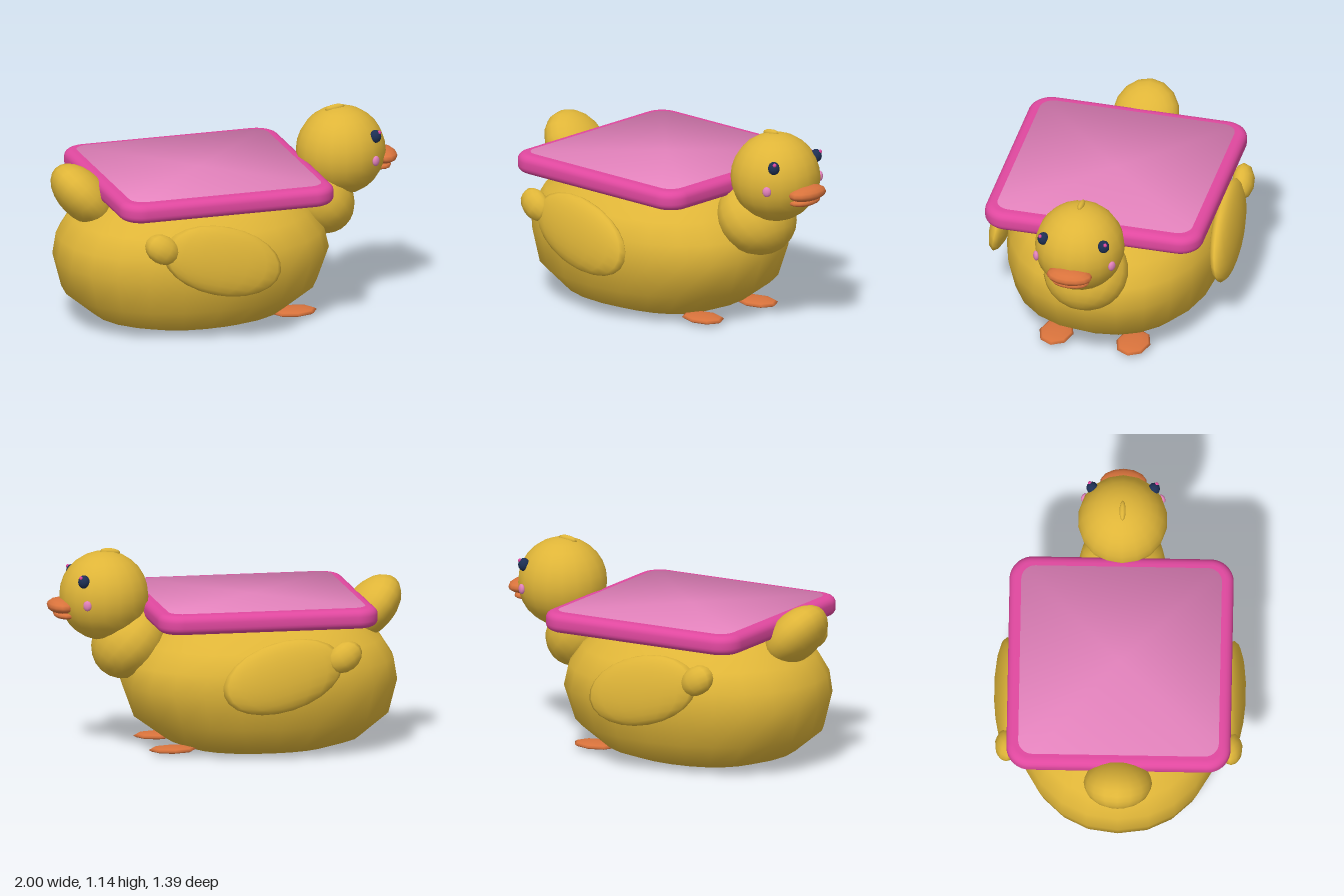
import * as THREE from 'three';
import { toCreasedNormals } from 'three/addons/utils/BufferGeometryUtils.js';

const paint = (name, color) => {
  const m = new THREE.MeshStandardMaterial({ color });
  m.name = name;
  return m;
};

export function createModel() {
  const duck = new THREE.Group();
  duck.name = 'duckSeat';
  const yellow = paint('yellow', 0xdfb538);
  const orange = paint('orange', 0xd9733c);
  const navy = paint('navy', 0x1e3055);
  const pink = paint('pink', 0xe0489f);
  const palePink = paint('palePink', 0xe382bc);

  const add = (name, geometry, material, pos = [0, 0, 0]) => {
    const mesh = new THREE.Mesh(geometry, material);
    mesh.name = name;
    mesh.position.set(...pos);
    duck.add(mesh);
    return mesh;
  };
  const blob = (name, material, pos, radii, rot = [0, 0, 0], w = 16, h = 12) => {
    const mesh = add(name, new THREE.SphereGeometry(1, w, h), material, pos);
    mesh.scale.set(...radii);
    mesh.rotation.set(...rot);
    return mesh;
  };

  // Body: oval rings stacked upwards [y, back x, front x, half width]
  const rings = [
    [0, -0.6, 0.2, 0.31], [0.05, -0.76, 0.33, 0.45], [0.18, -0.92, 0.51, 0.565],
    [0.37, -0.97, 0.58, 0.6], [0.49, -0.95, 0.55, 0.59], [0.6, -0.88, 0.47, 0.54],
    [0.71, -0.73, 0.34, 0.39], [0.765, -0.5, 0.1, 0.2],
  ];
  const N = 24;
  const verts = [], faces = [];
  const soften = (v) => Math.sign(v) * Math.abs(v) ** 0.92;
  for (const [y, x0, x1, w] of rings) {
    for (let i = 0; i < N; i++) {
      const a = (i / N) * Math.PI * 2;
      verts.push((x0 + x1) / 2 + ((x1 - x0) / 2) * soften(Math.cos(a)), y, w * soften(Math.sin(a)));
    }
  }
  const base = rings.length * N, last = (rings.length - 1) * N;
  verts.push(-0.2, 0, 0, -0.2, 0.775, 0);
  for (let i = 0; i < N; i++) {
    const k = (i + 1) % N;
    for (let j = 0; j < last; j += N) {
      faces.push(j + i, j + N + i, j + k, j + k, j + N + i, j + N + k);
    }
    faces.push(base, i, k, base + 1, last + k, last + i);
  }
  const body = new THREE.BufferGeometry();
  body.setAttribute('position', new THREE.Float32BufferAttribute(verts, 3));
  body.setIndex(faces);
  body.computeVertexNormals();
  add('body', body, yellow);

  // Neck, head, tuft and tail
  blob('neck', yellow, [0.54, 0.61, 0], [0.19, 0.225, 0.24], [0, 0, 0.75]);
  blob('head', yellow, [0.68, 0.87, 0], [0.25, 0.25, 0.25], [0, 0, 0], 18, 14);
  blob('tuft', yellow, [0.645, 1.115, 0], [0.058, 0.02, 0.018], [0, 0, 0.12], 10, 6);
  blob('tail', yellow, [-0.83, 0.75, 0], [0.21, 0.13, 0.19], [0, 0, -0.835]);

  // Beak
  blob('upperBeak', orange, [0.92, 0.822, 0], [0.08, 0.043, 0.13], [0, 0, 0], 14, 8);
  blob('lowerBeak', orange, [0.9, 0.773, 0], [0.065, 0.026, 0.108], [0, 0, 0], 14, 8);

  // Mirrored parts
  for (const s of [1, -1]) {
    const side = s > 0 ? 'left' : 'right';
    blob(side + 'Wing', yellow, [-0.21, 0.49, s * 0.625], [0.35, 0.193, 0.068], [-s * 0.15, 0, -0.27]);
    blob(side + 'WingTip', yellow, [-0.56, 0.59, s * 0.625], [0.105, 0.08, 0.062], [-s * 0.15, 0, -0.6], 10, 8);
    blob(side + 'Foot', orange, [0.335, 0.028, s * 0.22], [0.135, 0.02, 0.097], [0, 0, 0], 8, 6);
    blob(side + 'Eye', navy, [0.827, 0.982, s * 0.172], [0.033, 0.037, 0.033], [0, 0, 0], 12, 8);
    blob(side + 'EyeGlint', pink, [0.846, 1.006, s * 0.186], [0.011, 0.011, 0.011], [0, 0, 0], 8, 6);
    blob(side + 'Cheek', palePink, [0.816, 0.853, s * 0.217], [0.025, 0.029, 0.015], [0, s * 0.55, 0], 10, 8);
  }

  // Square cushion with rounded corners
  const rounded = (inset, radius) => {
    const a = 0.622 - inset, q = Math.PI / 2;
    const c = a - radius;
    const shape = new THREE.Shape();
    shape.absarc(c, c, radius, 0, q);
    shape.absarc(-c, c, radius, q, 2 * q);
    shape.absarc(-c, -c, radius, 2 * q, 3 * q);
    shape.absarc(c, -c, radius, 3 * q, 4 * q);
    shape.closePath();
    return shape;
  };
  const rim = new THREE.ExtrudeGeometry(rounded(0.045, 0.085), {
    depth: 0.03, bevelSize: 0.045, bevelThickness: 0.04, bevelSegments: 5, curveSegments: 8,
  });
  rim.rotateX(-Math.PI / 2);
  add('cushion', toCreasedNormals(rim, 0.7), pink, [-0.147, 0.78, 0]);

  // Cushion top: thin fan whose normals lean outwards for a padded look
  const edge = rounded(0.065, 0.08).getPoints(8).slice(0, -1);
  const pos = [0, 0, 0], normals = [0, 1, 0], fan = [];
  edge.forEach((p, i) => {
    const lean = new THREE.Vector3(p.x, 0, -p.y).normalize().multiplyScalar(0.6).setY(0.8);
    pos.push(p.x, 0, -p.y);
    normals.push(lean.x, lean.y, lean.z);
    fan.push(0, i + 1, ((i + 1) % edge.length) + 1);
  });
  const top = new THREE.BufferGeometry();
  top.setAttribute('position', new THREE.Float32BufferAttribute(pos, 3));
  top.setAttribute('normal', new THREE.Float32BufferAttribute(normals, 3));
  top.setIndex(fan);
  add('cushionTop', top, palePink, [-0.147, 0.853, 0]);

  return duck;
}
